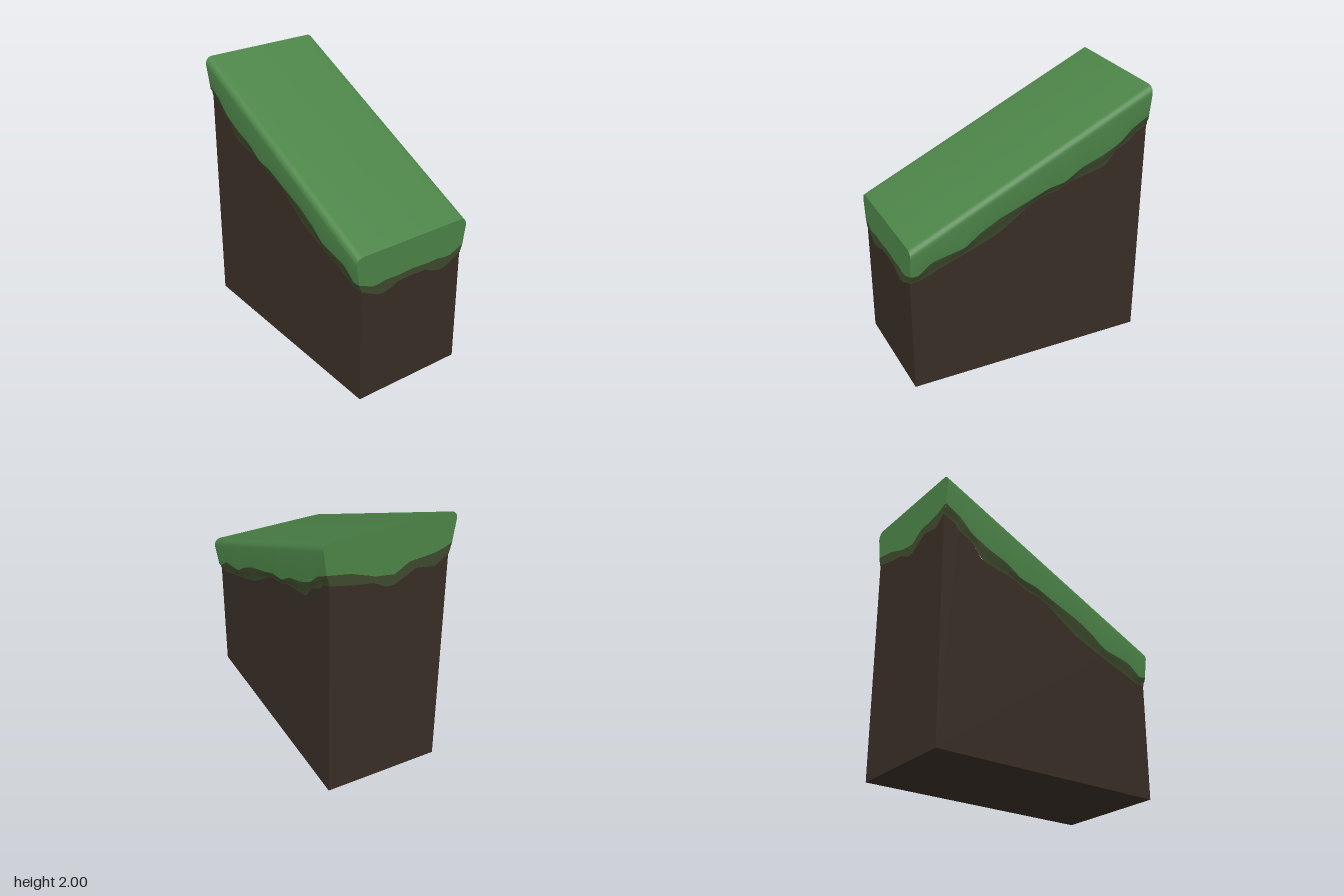
import * as THREE from 'three';
import { toCreasedNormals } from 'three/addons/utils/BufferGeometryUtils.js';

const W = 0.435; // half width of the earth
const L = 0.915; // half length
const topAt = (z) => 1.575 - (z / L) * 0.425;

// Ragged edges down the long sides, as [z, y] from back to front
const grassSide = [[-0.915, 1.775], [-0.79, 1.705], [-0.69, 1.61], [-0.55, 1.54], [-0.39, 1.484], [-0.26, 1.4],
  [-0.13, 1.378], [0.03, 1.314], [0.245, 1.234], [0.4, 1.15], [0.51, 1.07], [0.59, 1.053], [0.75, 1.02], [0.86, 0.936], [0.915, 0.945]];
const fringeSide = [[-0.915, 1.695], [-0.82, 1.655], [-0.79, 1.61], [-0.67, 1.55], [-0.6, 1.455], [-0.55, 1.435],
  [-0.31, 1.385], [-0.21, 1.335], [-0.1, 1.32], [0, 1.275], [0.245, 1.11], [0.5, 1.01], [0.71, 0.937], [0.83, 0.888], [0.915, 0.883]];

// Ragged edges across the ends, as [x, y] seen facing that end, left to right
const mirrored = (half) => [...half.map(([x, y]) => [-x, y]), ...half.slice(0, -1).reverse()];
const frontEnd = {
  grass: mirrored([[0.457, 0.945], [0.41, 0.925], [0.345, 0.897], [0.29, 0.897], [0.23, 0.908], [0.14, 0.904], [0, 0.912]]),
  fringe: mirrored([[0.437, 0.885], [0.305, 0.82], [0.255, 0.81], [0.175, 0.83], [0.12, 0.857], [0, 0.862]]),
};
const backEnd = {
  grass: [[-0.457, 1.775], [-0.28, 1.74], [-0.11, 1.675], [0.03, 1.652], [0.14, 1.715], [0.33, 1.73], [0.4, 1.75], [0.457, 1.775]],
  fringe: [[-0.437, 1.695], [-0.25, 1.65], [-0.12, 1.63], [-0.03, 1.577], [0.03, 1.573], [0.19, 1.655], [0.33, 1.63], [0.437, 1.695]],
};

function sample(list, t) {
  let i = 1;
  while (i < list.length - 1 && list[i][0] < t) i++;
  const [a, b] = [list[i - 1], list[i]];
  return THREE.MathUtils.lerp(a[1], b[1], THREE.MathUtils.clamp((t - a[0]) / (b[0] - a[0]), 0, 1));
}

// Rounded upper corner of the turf, from the side up to the top
function corner(top) {
  const pts = [];
  for (let k = 0; k <= 5; k++) {
    const a = (k / 5) * Math.PI / 2;
    pts.push([0.43 + 0.05 * Math.cos(a), top - 0.055 + 0.055 * Math.sin(a)]);
  }
  return pts;
}
const flipX = (pts) => pts.map(([x, y]) => [-x, y]).reverse();

// Skin through cross-sections taken from back to front
function loft(section) {
  const pos = [], index = [], n = 60;
  let m = 0;
  for (let i = 0; i <= n; i++) {
    const z = -L + (2 * L * i) / n;
    const pts = section(z);
    m = pts.length;
    pts.forEach(([x, y]) => pos.push(x, y, z));
  }
  for (let i = 0; i < n; i++) {
    for (let j = 0; j < m - 1; j++) {
      const a = i * m + j, b = a + 1, c = a + m, d = c + 1;
      index.push(a, b, c, b, d, c);
    }
  }
  const g = new THREE.BufferGeometry();
  g.setAttribute('position', new THREE.Float32BufferAttribute(pos, 3));
  g.setIndex(index);
  return toCreasedNormals(g, 0.7);
}

const outline = (pts) => new THREE.Shape(pts.map(([x, y]) => new THREE.Vector2(x, y)));

export function createModel() {
  const model = new THREE.Group();
  const grass = new THREE.MeshStandardMaterial({ color: 0x4c8448 });
  grass.name = 'grassGreen';
  const fringe = new THREE.MeshStandardMaterial({ color: 0x3e4a2d });
  fringe.name = 'mossOlive';
  const earth = new THREE.MeshStandardMaterial({ color: 0x382e25 });
  earth.name = 'earthBrown';

  const add = (name, geometry, material) => {
    const mesh = new THREE.Mesh(geometry, material);
    mesh.name = name;
    model.add(mesh);
    return mesh;
  };

  // Sloped block of earth, set a hair inside the end plates
  const E = L - 0.003;
  const profile = outline([[-E, 0], [E, 0], ...fringeSide.map(([z, y]) => [THREE.MathUtils.clamp(z, -E, E), y + 0.003]).reverse()]);
  const block = new THREE.ExtrudeGeometry(profile, { depth: 2 * W, bevelEnabled: false });
  block.rotateY(-Math.PI / 2).translate(W, 0, 0);
  add('earthBlock', block, earth);

  // Turf skin over the slope
  add('turf', loft((z) => {
    const half = [[0.457, sample(grassSide, z)], ...corner(topAt(z))];
    return [...half, ...flipX(half)];
  }), grass);

  // Mossy lip curling back to the earth on both sides
  const lip = (z) => {
    const g = sample(grassSide, z), b = Math.min(sample(fringeSide, z), g - 0.02);
    return [[0.437, b], [0.441, b + (g - b) * 0.4], [0.453, b + (g - b) * 0.65], [0.457, g]];
  };
  add('leftFringe', loft(lip), fringe);
  add('rightFringe', loft((z) => flipX(lip(z))), fringe);

  // Flat ends of the turf and the lip
  [['front', frontEnd, L, 0], ['back', backEnd, -L, Math.PI]].forEach(([name, end, z, turn]) => {
    const up = corner(topAt(z));
    const face = outline([...end.grass, ...up, ...flipX(up)]);
    const strip = outline([...end.fringe, ...[...end.grass].reverse()]);
    [[`${name}Turf`, face, grass], [`${name}Fringe`, strip, fringe]].forEach(([n, shape, material]) => {
      const plate = add(n, new THREE.ShapeGeometry(shape), material);
      plate.rotation.y = turn;
      plate.position.z = z;
    });
  });

  return model;
}
